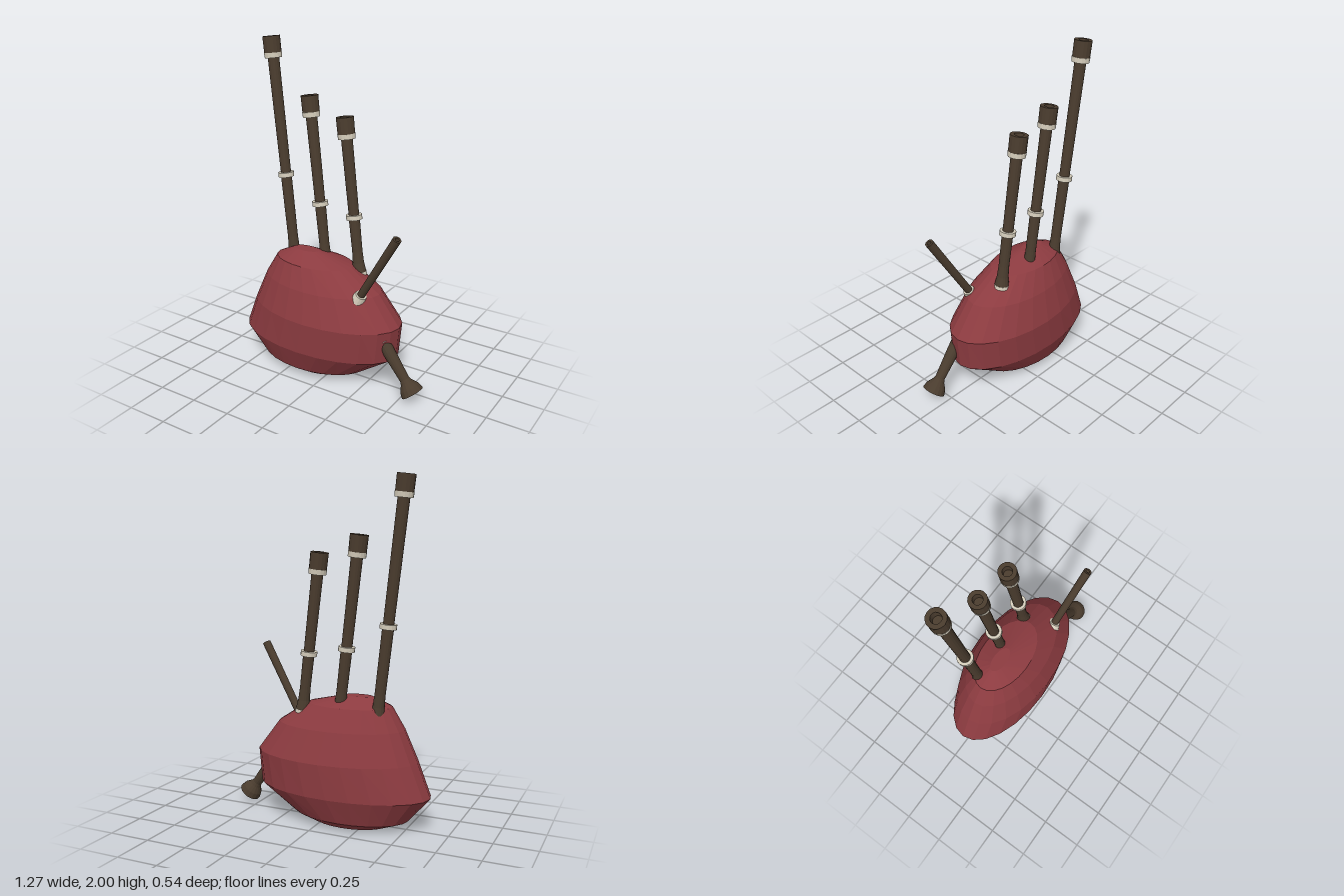
import * as THREE from 'three';

const material = (color) => new THREE.MeshStandardMaterial({ color, flatShading: true });
const cloth = material(0x8c3b40);
const wood = material(0x4a3c2e);
const ivory = material(0xd6cebc);

// Turned part: profile of [radius, distance along the axis].
function turned(name, profile, mat, sides = 16) {
  const points = profile.map(([r, y]) => new THREE.Vector2(r, y));
  const mesh = new THREE.Mesh(new THREE.LatheGeometry(points, sides), mat);
  mesh.name = name;
  return mesh;
}

function ferrule(name, r0, r1, from, to) {
  return turned(name, [[0, from], [r0, from], [r1, to], [0, to]], ivory);
}

// Group whose y axis runs from start towards end.
function axisGroup(name, start, end) {
  const group = new THREE.Group();
  group.name = name;
  const a = new THREE.Vector3(...start);
  const dir = new THREE.Vector3(...end).sub(a);
  group.position.copy(a);
  group.userData.length = dir.length();
  group.quaternion.setFromUnitVectors(new THREE.Vector3(0, 1, 0), dir.normalize());
  return group;
}

// Stacked elliptical rings: [y, left x, right x, half depth].
function createBag() {
  const rings = [
    [0, -0.38, 0.08, 0.135],
    [0.05, -0.51, 0.2, 0.205],
    [0.2, -0.64, 0.42, 0.265],
    [0.4, -0.56, 0.437, 0.27],
    [0.58, -0.48, 0.3, 0.215],
    [0.705, -0.405, 0.11, 0.15],
    [0.76, -0.29, -0.12, 0.042],
  ];
  const sides = 24;
  const position = [];
  const index = [];
  for (const [y, x0, x1, depth] of rings) {
    for (let i = 0; i < sides; i++) {
      const t = (i / sides) * Math.PI * 2;
      position.push((x0 + x1) / 2 + ((x1 - x0) / 2) * Math.sin(t), y, depth * Math.cos(t));
    }
  }
  for (let j = 0; j < rings.length - 1; j++) {
    for (let i = 0; i < sides; i++) {
      const a = j * sides + i;
      const b = j * sides + ((i + 1) % sides);
      index.push(a, b, a + sides, b, b + sides, a + sides);
    }
  }
  // Flat bottom and top
  const last = (rings.length - 1) * sides;
  for (let i = 1; i < sides - 1; i++) {
    index.push(0, i + 1, i);
    index.push(last, last + i, last + i + 1);
  }
  const geometry = new THREE.BufferGeometry();
  geometry.setAttribute('position', new THREE.Float32BufferAttribute(position, 3));
  geometry.setIndex(index);
  geometry.computeVertexNormals();
  const bag = new THREE.Mesh(geometry, cloth);
  bag.name = 'bag';
  return bag;
}

// Drone: tapered stock, shaft, middle ring, and a bored cap with its ring.
function createDrone(name, start, end, ringY) {
  const drone = axisGroup(name, start, end);
  const L = drone.userData.length;
  const ring = ((ringY - start[1]) / (end[1] - start[1])) * L;
  drone.add(
    ferrule('stockFerrule', 0.046, 0.044, -0.015, 0.005),
    turned('stock', [[0, 0], [0.043, 0], [0.034, 0.06], [0.031, 0.13], [0.033, ring], [0, ring]], wood),
    turned('shaft', [[0.031, ring], [0.034, L - 0.1]], wood),
    ferrule('middleRing', 0.048, 0.048, ring - 0.014, ring + 0.014),
    ferrule('capRing', 0.051, 0.053, L - 0.125, L - 0.095),
    turned('cap', [[0, L - 0.1], [0.051, L - 0.1], [0.052, L], [0.028, L], [0.026, L - 0.05], [0, L - 0.05]], wood)
  );
  return drone;
}

function createBlowpipe() {
  const pipe = axisGroup('blowpipe', [0.215, 0.565, 0.098], [0.483, 1.012, 0.147]);
  const L = pipe.userData.length;
  pipe.add(
    ferrule('blowpipeStock', 0.05, 0.034, -0.015, 0.045),
    turned('blowpipeShaft', [[0, 0], [0.023, 0], [0.025, L], [0.013, L], [0.013, L - 0.04], [0, L - 0.04]], wood)
  );
  return pipe;
}

// Chanter: leaves the bag low at one end and flares into a bell.
function createChanter() {
  const chanter = axisGroup('chanter', [0.362, 0.333, 0.066], [0.574, 0.054, 0.076]);
  const L = chanter.userData.length;
  chanter.add(
    ferrule('chanterRing', 0.046, 0.046, -0.014, 0.014),
    turned('chanterBody', [
      [0, 0], [0.038, 0], [0.037, 0.08], [0.029, L - 0.09], [0.036, L - 0.07],
      [0.06, L - 0.035], [0.069, L], [0.03, L - 0.004], [0.022, L - 0.04], [0, L - 0.04],
    ], wood)
  );
  return chanter;
}

export function createModel() {
  const model = new THREE.Group();
  model.name = 'bagpipes';
  model.add(
    createBag(),
    createDrone('bassDrone', [-0.342, 0.66, -0.065], [-0.506, 1.993, -0.097], 1.177),
    createDrone('middleDrone', [-0.108, 0.66, -0.064], [-0.236, 1.676, -0.089], 1.037),
    createDrone('shortDrone', [0.126, 0.66, -0.064], [0.006, 1.578, -0.086], 0.997),
    createBlowpipe(),
    createChanter()
  );
  return model;
}
